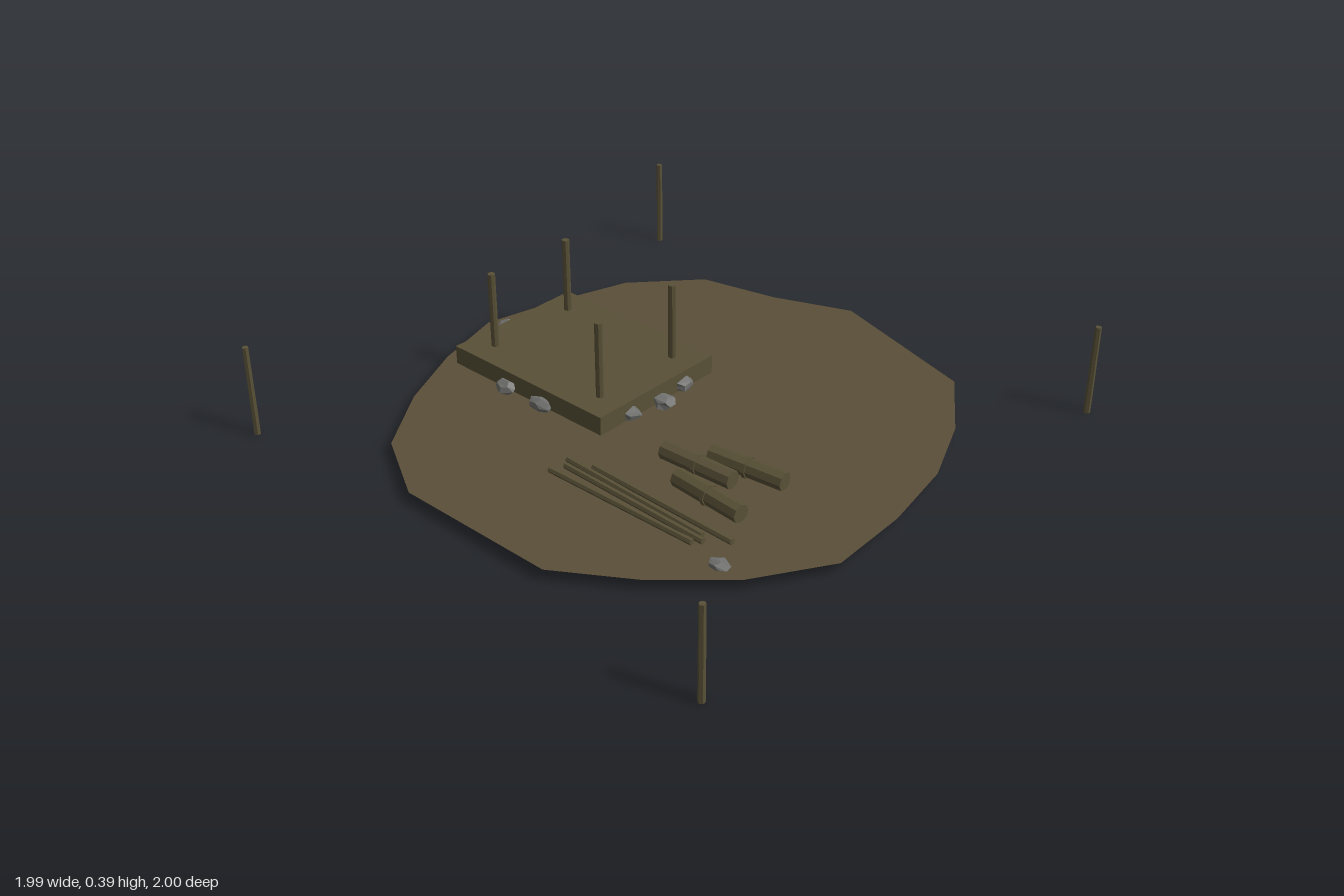
import * as THREE from 'three';

const GROUND = 0.04;

export function createModel() {
  const model = new THREE.Group();
  model.name = 'buildingSite';

  const mat = (name, color, extra = {}) => {
    const m = new THREE.MeshStandardMaterial({ color, flatShading: true, ...extra });
    m.name = name;
    return m;
  };
  const earth = mat('earth', 0x5a4f38, { side: THREE.DoubleSide });
  const wood = mat('wood', 0x585036);
  const stone = mat('stone', 0x727270);

  const add = (name, geometry, material, x, y, z, parent = model) => {
    const mesh = new THREE.Mesh(geometry, material);
    mesh.name = name;
    mesh.position.set(x, y, z);
    parent.add(mesh);
    return mesh;
  };

  // Trodden ground, an uneven flat patch
  const outline = [
    [0, -0.965], [0.575, -0.795], [0.75, -0.545], [0.86, -0.285], [0.91, 0], [0.92, 0.295],
    [0.76, 0.55], [0.545, 0.745], [0.295, 0.905], [-0.3, 0.91], [-0.56, 0.765], [-0.73, 0.525],
    [-0.85, 0.27], [-0.93, 0], [-0.865, -0.285], [-0.775, -0.565], [-0.57, -0.79], [-0.28, -0.855],
  ];
  const patch = new THREE.ShapeGeometry(new THREE.Shape(outline.map(([x, z]) => new THREE.Vector2(x, -z))));
  patch.rotateX(-Math.PI / 2);
  add('ground', patch, earth, 0, GROUND, 0);

  // Boundary stakes at the four corners of the plot
  const stake = new THREE.CylinderGeometry(0.011, 0.012, 0.33, 6);
  for (const x of [-0.987, 0.987]) for (const z of [-0.987, 0.987]) add('cornerStake', stake, wood, x, 0.165, z);

  // Foundation slab with four upright posts
  const cx = -0.437;
  add('foundation', new THREE.BoxGeometry(0.706, 0.068, 0.552), wood, cx, 0.076, 0);
  const post = new THREE.CylinderGeometry(0.0135, 0.0135, 0.3, 8);
  for (const x of [-0.256, 0.256]) for (const z of [-0.178, 0.178]) add('post', post, wood, cx + x, 0.24, z);

  // Rough stones: corners pushed in or out by a rule of their position
  const rock = (name, x, y, z, sx, sy, sz, seed) => {
    const g = new THREE.DodecahedronGeometry(1, 0);
    const p = g.attributes.position;
    const v = new THREE.Vector3();
    for (let i = 0; i < p.count; i++) {
      v.fromBufferAttribute(p, i);
      const k = 1 + 0.12 * Math.sin(v.x * 5.1 + v.y * 3.7 + v.z * 4.3 + seed * 1.9);
      p.setXYZ(i, v.x * k, v.y * k, v.z * k);
    }
    g.rotateY(seed * 0.8);
    g.scale(sx, sy, sz);
    g.computeVertexNormals();
    return add(name, g, stone, x, y, z);
  };

  // Ring of stones round the foundation
  for (let i = 0; i < 14; i++) {
    const a = (i / 14) * Math.PI * 2;
    const side = Math.abs(Math.cos(a)) > 0.5;
    rock('foundationStone', cx + 0.385 * Math.cos(a), 0.06, 0.3 * Math.sin(a),
      side ? 0.04 : 0.046, 0.027, side ? 0.04 : 0.029, i);
  }
  rock('looseStone', 0.67, 0.05, 0.55, 0.038, 0.017, 0.029, 3);

  // Short logs, each with a raised band at the middle
  const logGeo = new THREE.CylinderGeometry(0.032, 0.032, 0.278, 8).rotateZ(Math.PI / 2);
  const bandGeo = new THREE.CylinderGeometry(0.037, 0.037, 0.014, 8).rotateZ(Math.PI / 2);
  for (const [x, z, turn] of [[0.42, 0.126, 0.11], [0.293, 0.22, 0.05], [0.43, 0.325, -0.07]]) {
    const log = new THREE.Group();
    log.name = 'log';
    log.position.set(x, 0.07, z);
    log.rotation.y = turn;
    add('logBody', logGeo, wood, 0, 0, 0, log);
    add('logBand', bandGeo, wood, 0, 0, 0, log);
    model.add(log);
  }

  // Long thin poles lying beside the logs
  const pole = new THREE.CylinderGeometry(0.011, 0.011, 0.59, 6).rotateZ(Math.PI / 2);
  for (const [x, y, z, turn] of [
    [0.33, 0.05, 0.435, -0.017], [0.26, 0.07, 0.485, -0.035],
    [0.285, 0.074, 0.515, -0.02], [0.26, 0.07, 0.548, 0.02],
  ]) add('pole', pole, wood, x, y, z).rotation.y = turn;

  return model;
}
